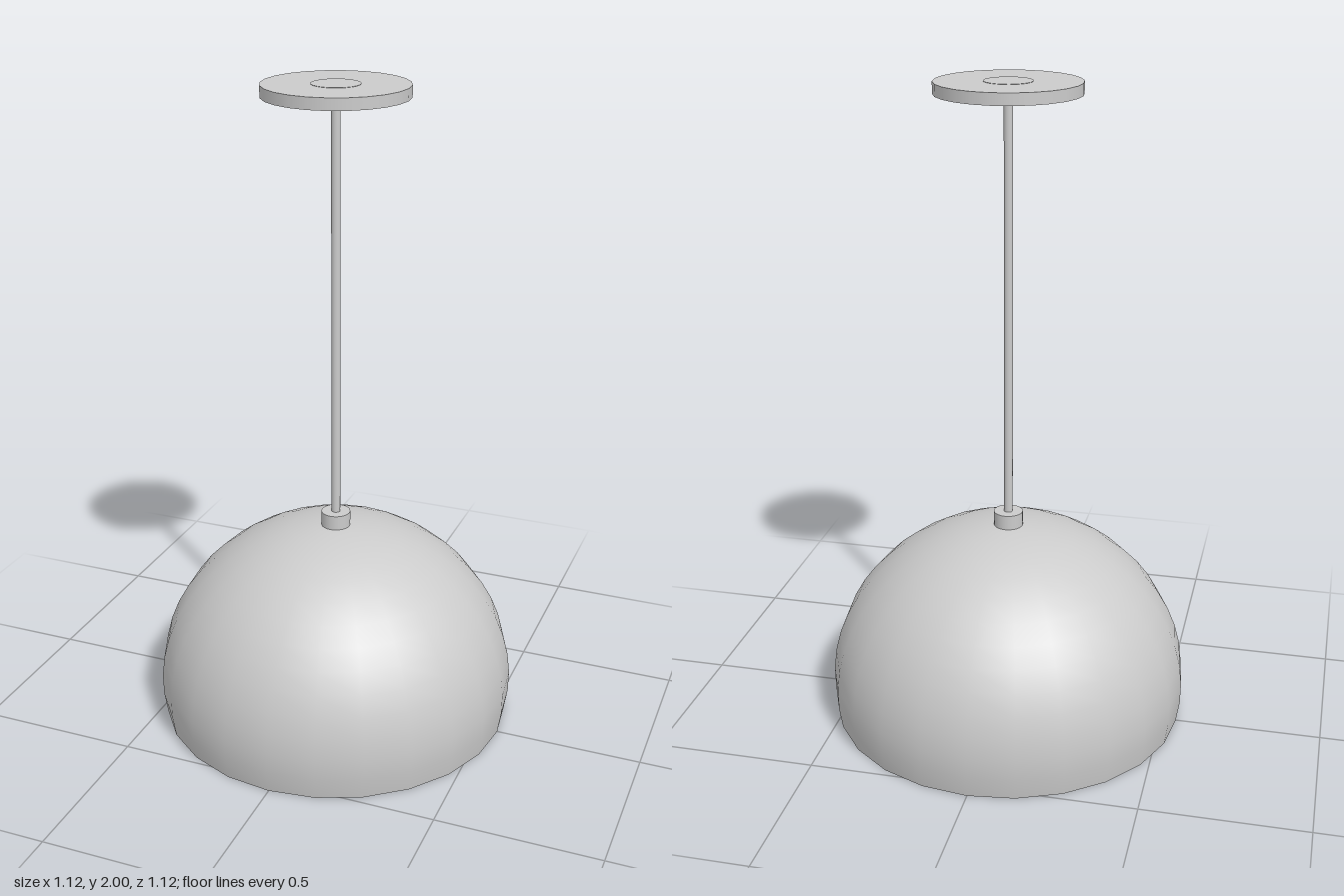
import * as THREE from 'three';
import { toCreasedNormals } from 'three/addons/utils/BufferGeometryUtils.js';

const SIDES = 24;

export function createModel() {
  const group = new THREE.Group();
  const material = new THREE.MeshStandardMaterial({ color: 0xcccccc });

  function add(name, geometry, y = 0) {
    const mesh = new THREE.Mesh(geometry, material);
    mesh.name = name;
    mesh.position.y = y;
    group.add(mesh);
    return mesh;
  }

  // Upright cylinder between two heights
  function post(name, radius, y0, y1, sides = SIDES) {
    add(name, new THREE.CylinderGeometry(radius, radius, y1 - y0, sides), (y0 + y1) / 2);
  }

  // Arc of the slightly flattened dome, from the open rim at y = 0 to the crown
  function domeArc(radius, height, centreY, steps = 14) {
    const start = -Math.asin(centreY / height);
    const points = [];
    for (let i = 0; i <= steps; i++) {
      const t = start + (Math.PI / 2 - start) * (i / steps);
      const r = i === steps ? 0 : radius * Math.cos(t);
      points.push(new THREE.Vector2(r, i === 0 ? 0 : centreY + height * Math.sin(t)));
    }
    return points;
  }

  // Thin-walled shade: down the inside, across the rim, up the outside
  const outer = domeArc(0.56, 0.525, 0.11);
  const inner = domeArc(0.546, 0.511, 0.11).reverse();
  const shade = new THREE.LatheGeometry([...inner, ...outer], SIDES);
  add('shade', toCreasedNormals(shade, 0.7));

  // Flat diffuser recessed inside the shade
  post('diffuser', 0.544, 0.075, 0.085);

  // Suspension
  post('collar', 0.045, 0.61, 0.678);
  post('rod', 0.0135, 0.66, 1.952, 16);

  // Ceiling plate with a flush centre cap
  post('ceilingPlate', 0.215, 1.964, 1.999);
  post('plateCap', 0.072, 1.98, 2.0);

  return group;
}
